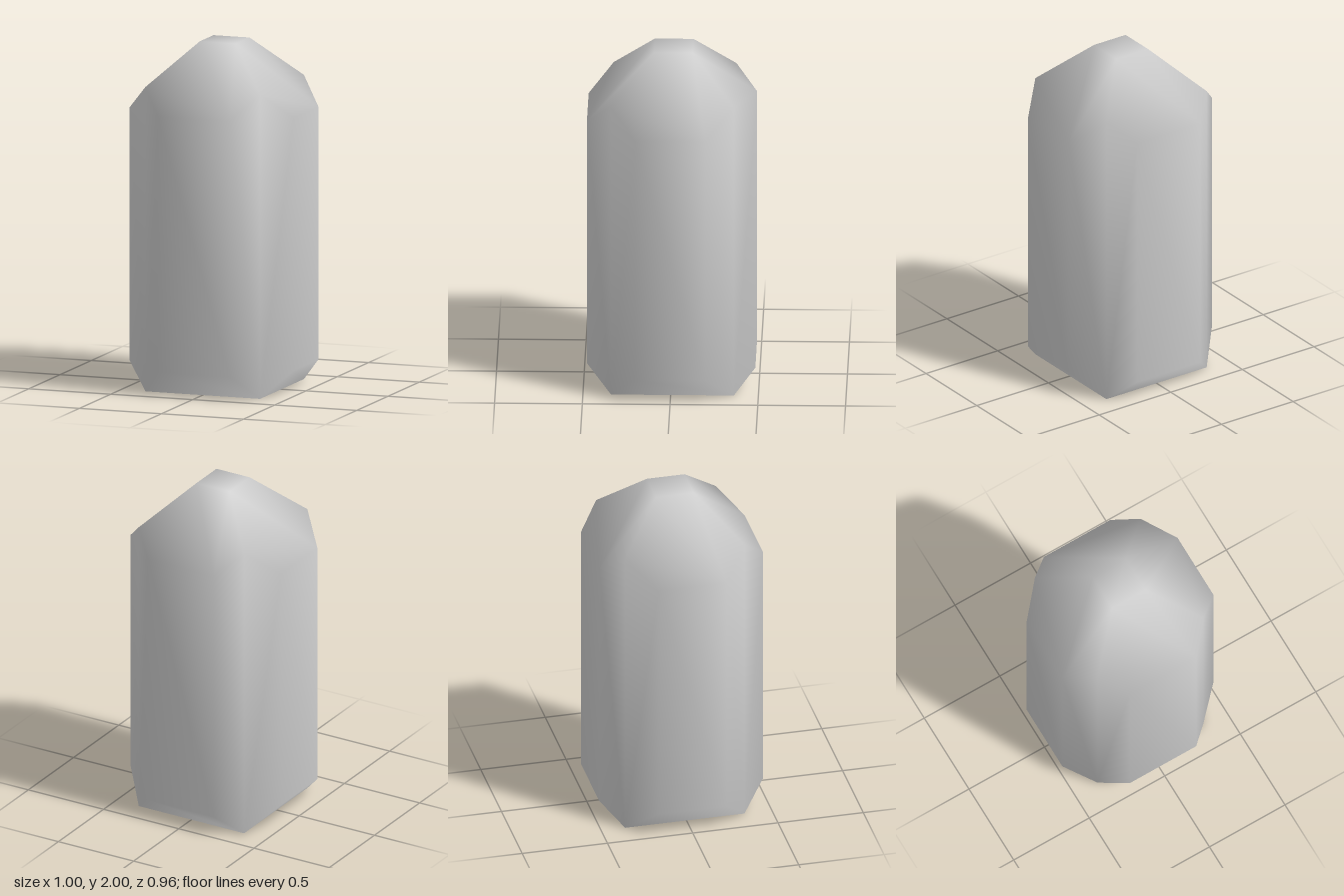
import * as THREE from 'three';

// Corner signs, walking round the prism from +x towards +z
const CORNERS = [[1, 1], [-1, 1], [-1, -1], [1, -1]];
const Z_SHIFT = -0.01; // base and roof sit slightly behind the shaft

// Square of four corners at height y
const square = (half, y) => CORNERS.map(([sx, sz]) => [sx * half, y, sz * half + Z_SHIFT]);

// Two shaft points per corner, in walking order
function octagon(y) {
  return CORNERS.flatMap(([sx, sz]) => {
    const onSide = [sx * 0.5, y(sx, sz, 0.5, false), sz * 0.2];
    const onFace = [sx * 0.22, y(sx, sz, 0.48, true), sz * 0.48];
    return sx * sz > 0 ? [onSide, onFace] : [onFace, onSide];
  });
}

function buildGeometry(points, polygons) {
  const index = [];
  for (const p of polygons) {
    for (let i = 1; i < p.length - 1; i++) index.push(p[0], p[i], p[i + 1]);
  }
  const geometry = new THREE.BufferGeometry();
  geometry.setAttribute('position', new THREE.Float32BufferAttribute(points.flat(), 3));
  geometry.setIndex(index);
  geometry.computeVertexNormals();
  return geometry;
}

export function createModel() {
  const group = new THREE.Group();
  group.name = 'crystal';
  const material = new THREE.MeshStandardMaterial({ color: 0xcccccc });

  // Bevels run at 45 degrees, so heights follow from the distance to the shifted axis
  const reach = (sz, d, facesZ) => (facesZ ? d - sz * Z_SHIFT : d);
  const base = square(0.35, 0);
  const lower = octagon((sx, sz, d, f) => reach(sz, d, f) - 0.35);
  const upper = octagon((sx, sz, d, f) => 2.11 - reach(sz, d, f));
  const hips = square(0.35, 1.76);
  const tip = square(0.11, 2);
  const points = [...base, ...lower, ...upper, ...hips, ...tip];
  const LO = 4, UP = 12, HIP = 20, TIP = 24;

  const polygons = [[TIP + 3, TIP + 2, TIP + 1, TIP]];
  for (let k = 0; k < 4; k++) {
    const n = (k + 1) % 4;
    const first = 2 * k, last = 2 * k + 1, next = 2 * n;
    polygons.push(
      // pointed corner chamfer
      [k, LO + first, UP + first, HIP + k, UP + last, LO + last],
      // upright side
      [LO + last, UP + last, UP + next, LO + next],
      // roof slope
      [UP + last, HIP + k, TIP + k, TIP + n, HIP + n, UP + next],
      // foot bevel
      [k, LO + last, LO + next, n]
    );
  }
  const body = new THREE.Mesh(buildGeometry(points, polygons), material);
  body.name = 'crystalBody';

  // Flat underside with its own sharp edge
  const underside = new THREE.Mesh(buildGeometry(base, [[0, 1, 2, 3]]), material);
  underside.name = 'underside';

  group.add(body, underside);
  return group;
}
